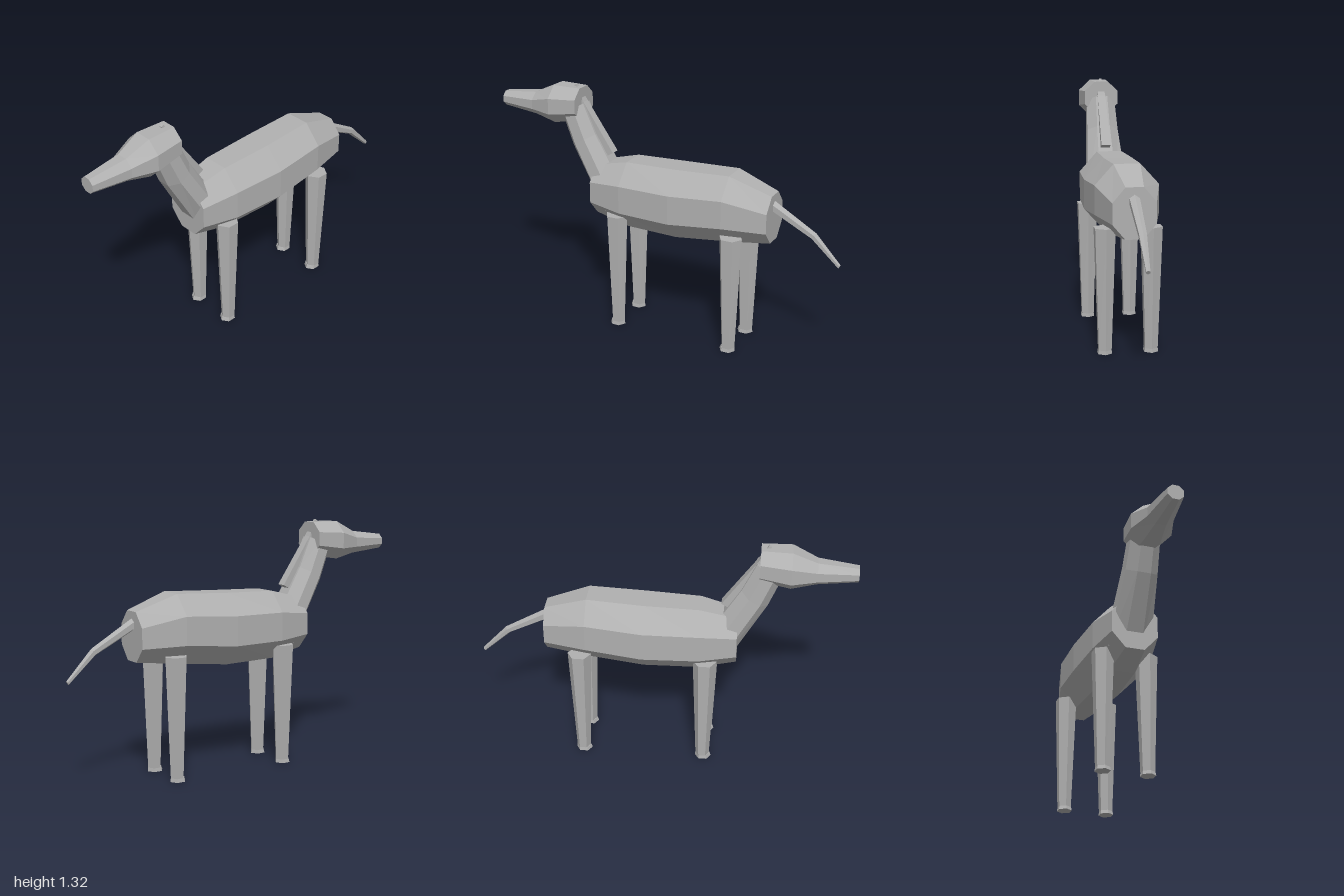
import * as THREE from 'three';

const coat = new THREE.MeshStandardMaterial({ color: 0xb0b0b0 });
coat.name = 'plainGrey';

// Faceted loft. Each ring is [y, z, halfWidth, halfDepth]; rings run along the
// direction dir = [dy, dz], and stand square to it.
function loft(name, rings, dir, sides = 8) {
  const len = Math.hypot(dir[0], dir[1]);
  const vy = dir[1] / len, vz = -dir[0] / len;
  const grow = 1 / Math.cos(Math.PI / sides);
  const pos = [], index = [];
  for (const [y, z, w, d] of rings) {
    for (let i = 0; i < sides; i++) {
      const a = ((i + 0.5) / sides) * Math.PI * 2;
      const s = Math.sin(a) * d * grow;
      pos.push(Math.cos(a) * w * grow, y + vy * s, z + vz * s);
    }
  }
  for (let r = 0; r < rings.length - 1; r++) {
    for (let i = 0; i < sides; i++) {
      const j = (i + 1) % sides;
      const a = r * sides + i, b = r * sides + j;
      index.push(a, b, b + sides, a, b + sides, a + sides);
    }
  }
  // end caps
  const last = (rings.length - 1) * sides;
  for (let i = 1; i < sides - 1; i++) {
    index.push(0, i + 1, i, last, last + i, last + i + 1);
  }
  const indexed = new THREE.BufferGeometry();
  indexed.setAttribute('position', new THREE.Float32BufferAttribute(pos, 3));
  indexed.setIndex(index);
  const geometry = indexed.toNonIndexed();
  geometry.computeVertexNormals();
  const mesh = new THREE.Mesh(geometry, coat);
  mesh.name = name;
  return mesh;
}

function makeLeg(name, x, z) {
  const leg = new THREE.Group();
  leg.name = name;
  leg.add(loft('shank', [
    [0.02, 0, 0.033, 0.033],
    [0.66, 0, 0.052, 0.055],
  ], [1, 0], 6));
  leg.add(loft('hoof', [
    [0, 0.004, 0.036, 0.039],
    [0.02, 0.002, 0.033, 0.035],
  ], [1, 0], 6));
  leg.position.set(x, 0, z);
  return leg;
}

export function createModel() {
  const model = new THREE.Group();
  model.name = 'longNeckedAnimal';

  // barrel body, rump to chest
  model.add(loft('body', [
    [0.765, -0.63, 0.11, 0.13],
    [0.792, -0.4, 0.165, 0.182],
    [0.768, -0.1, 0.18, 0.192],
    [0.765, 0.2, 0.165, 0.185],
    [0.76, 0.4, 0.125, 0.14],
  ], [0, 1]));

  // neck, rising forward out of the chest
  model.add(loft('neck', [
    [0.68, 0.28, 0.115, 0.088],
    [1.025, 0.48, 0.088, 0.08],
    [1.19, 0.55, 0.08, 0.075],
  ], [0.87, 0.5]));

  // slim mane ridge, its tip just showing on the crown
  model.add(loft('mane', [
    [0.955, 0.335, 0.026, 0.03],
    [1.225, 0.5, 0.022, 0.014],
    [1.32, 0.545, 0.008, 0.008],
  ], [0.87, 0.5], 4));

  // head, nape to muzzle
  model.add(loft('head', [
    [1.22, 0.5, 0.095, 0.09],
    [1.205, 0.66, 0.11, 0.105],
    [1.188, 0.79, 0.07, 0.062],
    [1.185, 1.0, 0.043, 0.04],
  ], [0, 1]));

  // drooping tail
  model.add(loft('tail', [
    [0.835, -0.61, 0.026, 0.026],
    [0.705, -0.85, 0.019, 0.018],
    [0.563, -0.994, 0.01, 0.01],
  ], [-0.5, -0.8], 6));

  // four legs
  for (const [side, x] of [['Left', 0.12], ['Right', -0.12]]) {
    model.add(makeLeg('front' + side + 'Leg', x, 0.235));
    model.add(makeLeg('rear' + side + 'Leg', x, -0.44));
  }
  return model;
}
